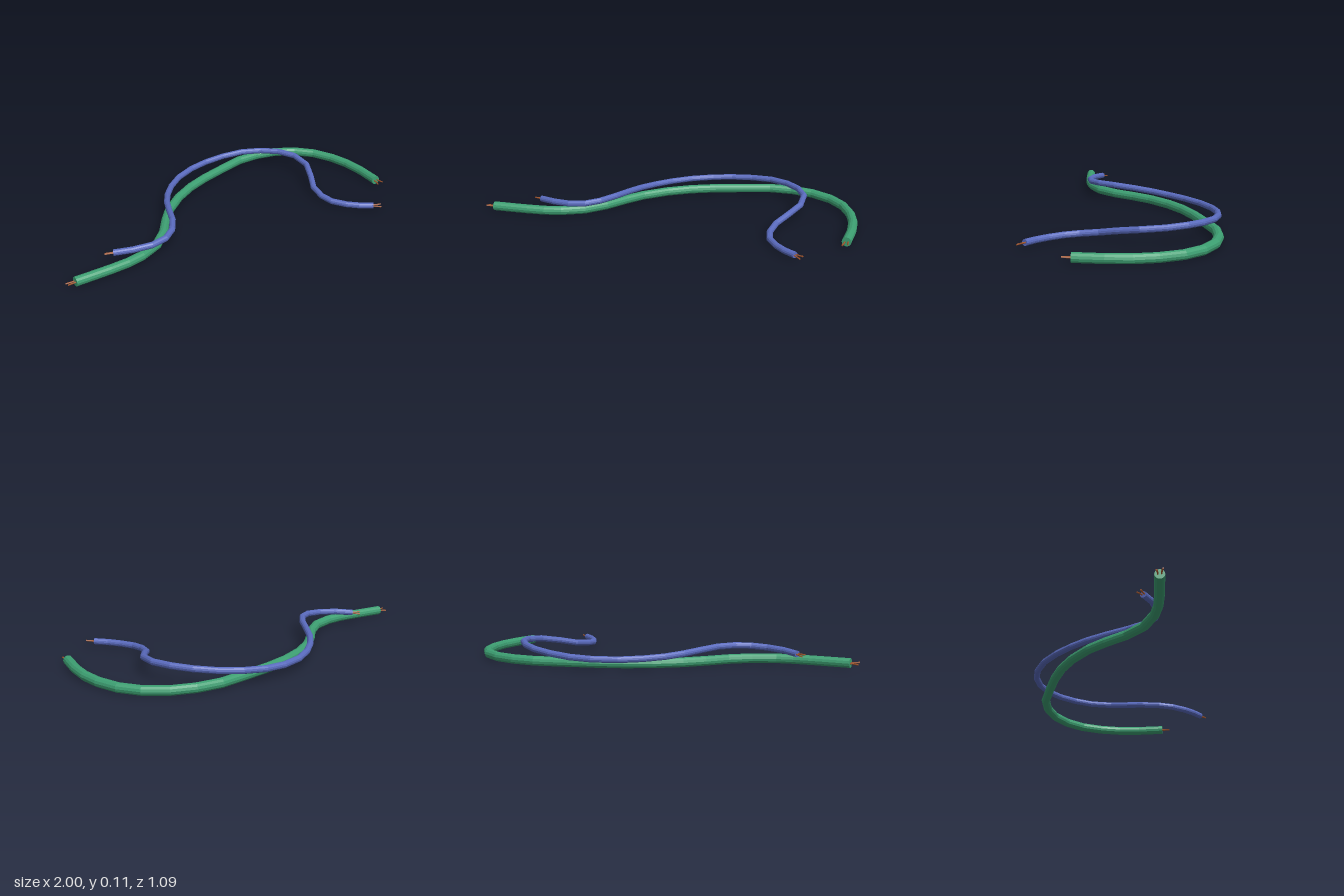
import * as THREE from 'three';

const green = new THREE.MeshStandardMaterial({ color: 0x3d9f72, flatShading: true });
green.name = 'green insulation';
const blue = new THREE.MeshStandardMaterial({ color: 0x5a6bbe, flatShading: true });
blue.name = 'blue insulation';
const copper = new THREE.MeshStandardMaterial({ color: 0xa5582f });
copper.name = 'copper';

// Straight-segment path, sampled exactly at its points
class Polyline extends THREE.Curve {
  constructor(points) {
    super();
    this.points = points;
  }
  getPoint(t, target = new THREE.Vector3()) {
    const n = this.points.length - 1;
    const f = THREE.MathUtils.clamp(t, 0, 1) * n;
    const i = Math.min(Math.floor(f), n - 1);
    return target.lerpVectors(this.points[i], this.points[i + 1], f - i);
  }
  getUtoTmapping(u) { return u; }
}

function addMesh(group, name, geometry, material) {
  const mesh = new THREE.Mesh(geometry, material);
  mesh.name = name;
  group.add(mesh);
  return mesh;
}

// Flat end cap and two bare strands leaving the cable along dir
function addEnd(group, name, end, inner, radius) {
  const dir = end.clone().sub(inner).normalize();
  const side = new THREE.Vector3(dir.z, 0, -dir.x).normalize();
  const cap = addMesh(group, name + 'Cap', new THREE.CircleGeometry(radius, 12), group.userData.material);
  cap.position.copy(end);
  cap.quaternion.setFromUnitVectors(new THREE.Vector3(0, 0, 1), dir);
  for (const s of [-1, 1]) {
    const at = (along, across, lift) => end.clone()
      .addScaledVector(dir, along)
      .addScaledVector(side, s * across)
      .add(new THREE.Vector3(0, s * lift, 0));
    const path = new THREE.CatmullRomCurve3([
      at(-0.01, radius * 0.35, 0.001), at(0.02, radius * 0.4, 0.002), at(0.043, radius * 0.6, 0.004),
    ]);
    addMesh(group, name + 'Strand', new THREE.TubeGeometry(path, 4, 0.004, 6), copper);
    const tip = addMesh(group, name + 'StrandTip', new THREE.CircleGeometry(0.004, 6), copper);
    tip.position.copy(path.getPoint(1));
    tip.quaternion.setFromUnitVectors(new THREE.Vector3(0, 0, 1), path.getTangent(1));
  }
}

function makeCable(name, coords, radius, material) {
  const group = new THREE.Group();
  group.name = name;
  group.userData.material = material;
  const pts = coords.map(([x, y, z]) => new THREE.Vector3(x, y, z));
  const n = pts.length;
  addMesh(group, name + 'Insulation',
    new THREE.TubeGeometry(new Polyline(pts), n - 1, radius, 12), material);
  addEnd(group, name + 'Start', pts[0], pts[1], radius);
  addEnd(group, name + 'Finish', pts[n - 1], pts[n - 2], radius);
  group.userData = {};
  return group;
}

export function createModel() {
  const model = new THREE.Group();
  model.name = 'cables';

  // Thick cable lying flat: x, z
  const thick = [
    [-0.955, -0.192], [-0.86, -0.165], [-0.77, -0.14], [-0.675, -0.118], [-0.585, -0.11],
    [-0.46, -0.127], [-0.345, -0.185], [-0.24, -0.265], [-0.14, -0.33], [0, -0.388],
    [0.135, -0.42], [0.27, -0.432], [0.43, -0.432], [0.59, -0.428], [0.714, -0.393],
    [0.82, -0.334], [0.906, -0.243], [0.955, -0.136], [0.97, -0.013], [0.96, 0.1],
    [0.928, 0.217], [0.874, 0.352],
  ].map(([x, z]) => [x, 0.0255, z]);
  model.add(makeCable('thickCable', thick, 0.0245, green));

  // Thin cable resting over the thick one: x, y, z
  const thin = [
    [-0.695, 0.063, -0.196], [-0.623, 0.071, -0.131], [-0.537, 0.076, -0.083],
    [-0.452, 0.081, -0.07], [-0.372, 0.085, -0.099], [-0.291, 0.085, -0.168],
    [-0.217, 0.078, -0.259], [-0.147, 0.07, -0.34], [-0.067, 0.063, -0.409],
    [0.029, 0.059, -0.468], [0.142, 0.057, -0.513], [0.27, 0.059, -0.529],
    [0.382, 0.064, -0.516], [0.495, 0.073, -0.476], [0.596, 0.083, -0.414],
    [0.671, 0.09, -0.329], [0.719, 0.094, -0.233], [0.735, 0.092, -0.126],
    [0.698, 0.082, -0.013], [0.618, 0.062, 0.075], [0.548, 0.042, 0.142],
    [0.505, 0.031, 0.227], [0.495, 0.026, 0.302], [0.516, 0.025, 0.382],
    [0.548, 0.026, 0.447], [0.592, 0.028, 0.507],
  ];
  model.add(makeCable('thinCable', thin, 0.0165, blue));

  return model;
}
